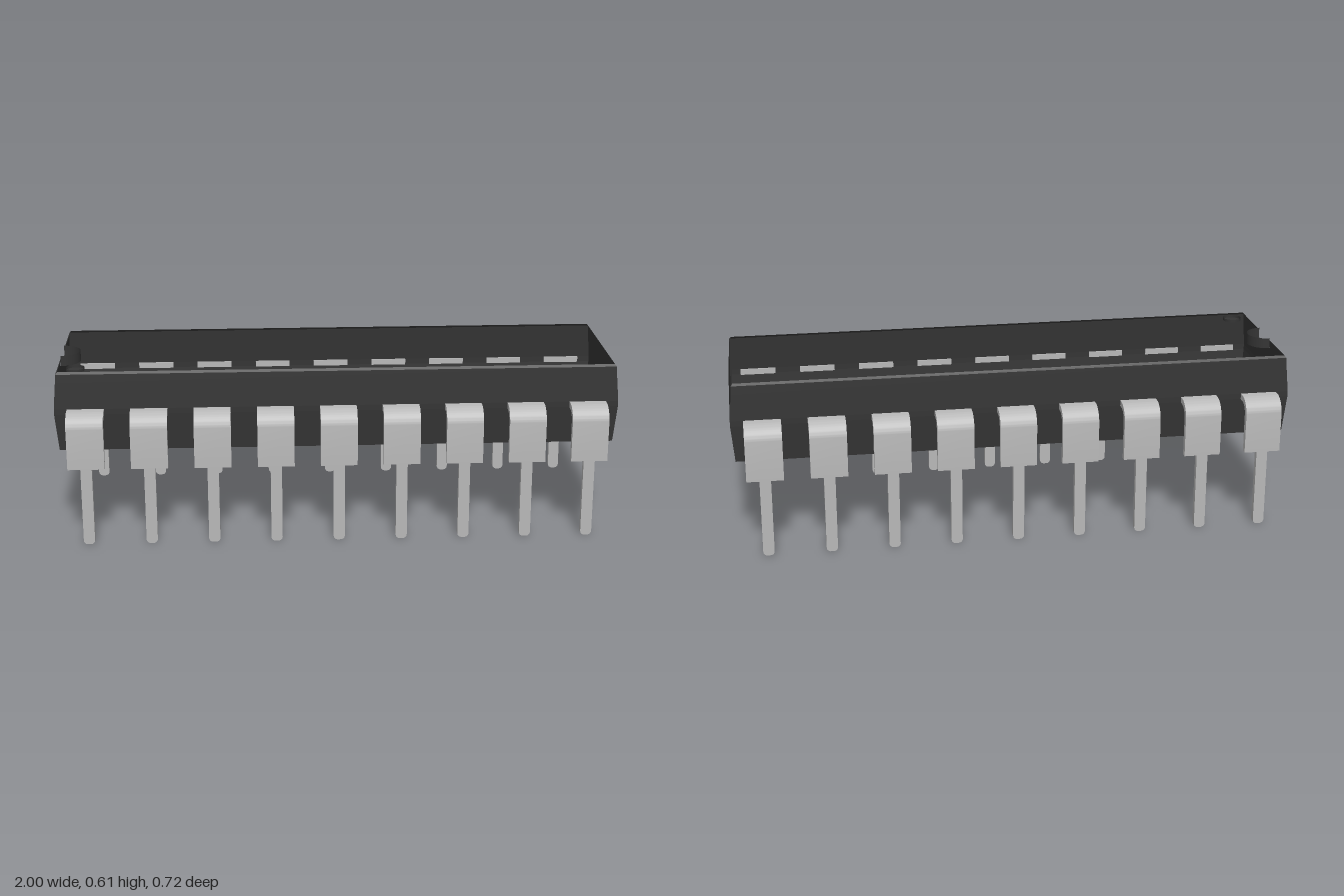
import * as THREE from 'three';
import { toCreasedNormals } from 'three/addons/utils/BufferGeometryUtils.js';

const plastic = new THREE.MeshStandardMaterial({ color: 0x343434, side: THREE.DoubleSide });
plastic.name = 'dark plastic';
const metal = new THREE.MeshStandardMaterial({ color: 0xb8b8b8 });
metal.name = 'tinned metal';

const NOTCH = 0.066;

function part(name, geometry, material) {
  const mesh = new THREE.Mesh(geometry, material);
  mesh.name = name;
  return mesh;
}

// Open-topped shell lofted through rectangular sections [y, half x, half z]
function shellGeometry() {
  const levels = [
    [0.325, 0.988, 0.267], [0.46, 1, 0.278], [0.48, 1, 0.278],
    [0.575, 0.992, 0.272], [0.605, 0.99, 0.27], [0.613, 0.984, 0.264],
  ];
  const pos = [], index = [];
  for (const [y, x, z] of levels) {
    pos.push(x, y, z, x, y, -z, -x, y, -z, -x, y, -NOTCH, -x, y, NOTCH, -x, y, z);
  }
  for (let l = 0; l < levels.length - 1; l++) {
    for (let i = 0; i < 6; i++) {
      if (i === 3 && l >= 3) continue; // gap for the end notch
      const j = (i + 1) % 6;
      const a = l * 6 + i, b = l * 6 + j;
      index.push(a, b, b + 6, a, b + 6, a + 6);
    }
  }
  for (let i = 1; i < 5; i++) index.push(0, i + 1, i); // floor
  const g = new THREE.BufferGeometry();
  g.setAttribute('position', new THREE.Float32BufferAttribute(pos, 3));
  g.setIndex(index);
  const flat = g.toNonIndexed();
  flat.computeVertexNormals();
  return flat;
}

// Shallow round pocket; arc is the angle swept on the +x side
function pocket(name, radius, depth, arc) {
  const group = new THREE.Group();
  group.name = name;
  const wall = new THREE.CylinderGeometry(radius, radius, depth, 32, 1, true, 0, arc);
  wall.translate(0, depth / 2, 0);
  const floor = new THREE.CircleGeometry(radius, 32, -Math.PI / 2, arc);
  floor.rotateX(-Math.PI / 2);
  group.add(part(name + 'Wall', wall, plastic), part(name + 'Floor', floor, plastic));
  return group;
}

// Wide bent shoulder of a pin, profile in z and y
function shoulderGeometry() {
  const s = new THREE.Shape();
  s.moveTo(0.272, 0.459);
  s.lineTo(0.3, 0.459);
  s.absarc(0.3, 0.422, 0.037, Math.PI / 2, 0, true);
  s.lineTo(0.337, 0.282);
  s.lineTo(0.358, 0.282);
  s.lineTo(0.358, 0.422);
  s.absarc(0.3, 0.422, 0.058, 0, Math.PI / 2, false);
  s.lineTo(0.272, 0.48);
  s.closePath();
  const g = new THREE.ExtrudeGeometry(s, { depth: 0.13, bevelEnabled: false, curveSegments: 12 });
  g.translate(0, 0, -0.065);
  g.rotateY(-Math.PI / 2);
  return toCreasedNormals(g, 0.6);
}

// Narrow leg with rounded tip corners
function legGeometry() {
  const w = 0.02, r = 0.015;
  const s = new THREE.Shape();
  s.moveTo(-w, 0.282);
  s.lineTo(-w, r);
  s.absarc(-w + r, r, r, Math.PI, Math.PI * 1.5, false);
  s.absarc(w - r, r, r, Math.PI * 1.5, Math.PI * 2, false);
  s.lineTo(w, 0.282);
  s.closePath();
  const g = new THREE.ExtrudeGeometry(s, { depth: 0.021, bevelEnabled: false, curveSegments: 6 });
  g.translate(0, 0, 0.337);
  return toCreasedNormals(g, 0.6);
}

export function createModel() {
  const model = new THREE.Group();
  model.name = 'chipPackage';

  // Body, end notch and first-pin mark
  model.add(part('bodyShell', shellGeometry(), plastic));
  const notch = pocket('endNotch', NOTCH, 0.038, Math.PI);
  notch.position.set(-0.991, 0.575, 0);
  const mark = pocket('pinMark', 0.033, 0.01, Math.PI * 2);
  mark.position.set(-0.925, 0.603, 0.21);
  model.add(notch, mark);

  // Two mirrored rows of nine pins
  const shoulder = shoulderGeometry(), leg = legGeometry();
  for (const [name, turn] of [['frontPins', 0], ['backPins', Math.PI]]) {
    const row = new THREE.Group();
    row.name = name;
    for (let i = -4; i <= 4; i++) {
      const pin = new THREE.Group();
      pin.name = 'pin';
      pin.add(part('pinShoulder', shoulder, metal), part('pinLeg', leg, metal));
      pin.position.x = i * 0.2225;
      row.add(pin);
    }
    row.rotation.y = turn;
    model.add(row);
  }
  return model;
}
